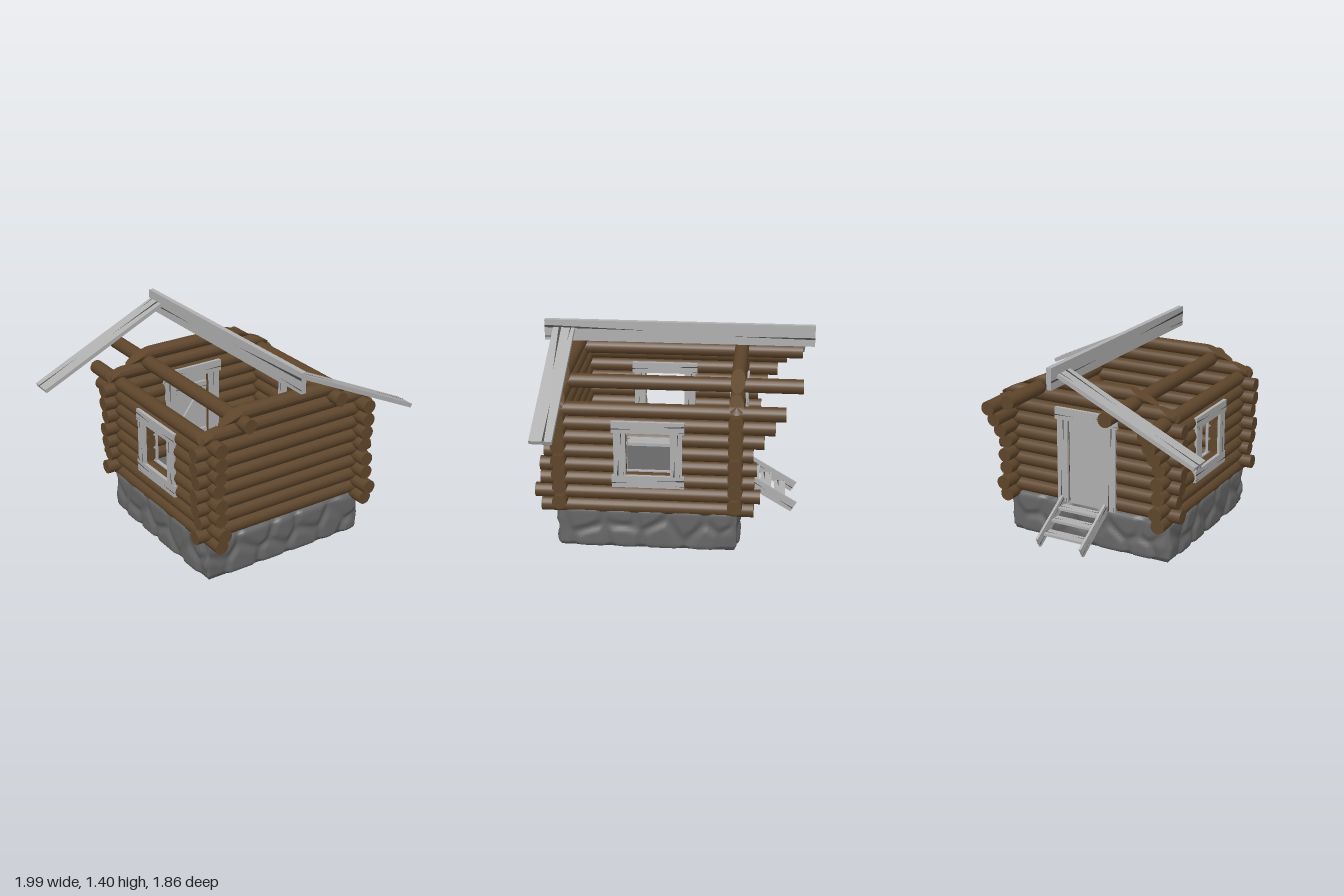
import * as THREE from 'three';
import { mergeVertices } from 'three/addons/utils/BufferGeometryUtils.js';

const mat = (name, color, side = THREE.FrontSide) => {
  const m = new THREE.MeshStandardMaterial({ color, side });
  m.name = name;
  return m;
};
const V = (x, y, z) => new THREE.Vector3(x, y, z);

export function createModel() {
  const logBrown = mat('log brown', 0x5e452b);
  const boardGrey = mat('board grey', 0xafafaf);
  const crackGrey = mat('crack grey', 0x484848, THREE.DoubleSide);
  const stoneGrey = mat('stone grey', 0x666666);
  const model = new THREE.Group();
  model.name = 'logCabin';
  const R = 0.049;
  const LEFT = 0.605, RIGHT = -0.575, FRONT = 0.74, BACK = -0.425;

  const section = (name) => {
    const g = new THREE.Group();
    g.name = name;
    model.add(g);
    return g;
  };

  // Round log from a to b along 'x' or 'z', crossing the other axis at c
  function log(parent, name, axis, a, b, y, c, cut) {
    const geo = new THREE.CylinderGeometry(R, R, b - a, 18);
    if (axis === 'x') geo.rotateZ(-Math.PI / 2).translate((a + b) / 2, y, c);
    else geo.rotateX(Math.PI / 2).translate(c, y, (a + b) / 2);
    if (cut) {
      // slice both ends along the roof pitch
      const p = geo.attributes.position;
      for (let i = 0; i < p.count; i++) {
        const end = Math.min((1.34 - p.getY(i)) / 0.463, 0.66);
        p.setX(i, Math.sign(p.getX(i) - 0.01) * end + 0.01);
      }
      geo.computeVertexNormals();
    }
    const mesh = new THREE.Mesh(geo, logBrown);
    mesh.name = name;
    parent.add(mesh);
  }

  // Weathered board: l along u, w along v, with wedge cracks on both broad faces
  function board(parent, name, center, u, v, l, w, t, cracked = true) {
    const g = new THREE.Group();
    g.name = name;
    const body = new THREE.Mesh(new THREE.BoxGeometry(l, w, t), boardGrey);
    body.name = name + 'Body';
    g.add(body);
    if (cracked) {
      const pts = [];
      for (const s of [1, -1]) {
        const z = s * (t / 2 + 0.0012), x = l / 2;
        pts.push(-x, w * 0.24, z, -x, w * 0.12, z, -x + l * 0.4, w * 0.08, z);
        pts.push(x, -w * 0.08, z, x, -w * 0.17, z, x - l * 0.32, -w * 0.1, z);
        pts.push(-x, -w * 0.3, z, -x, -w * 0.35, z, -x + l * 0.13, -w * 0.28, z);
      }
      const geo = new THREE.BufferGeometry();
      geo.setAttribute('position', new THREE.Float32BufferAttribute(pts, 3));
      geo.computeVertexNormals();
      const cracks = new THREE.Mesh(geo, crackGrey);
      cracks.name = name + 'Cracks';
      g.add(cracks);
    }
    u.normalize();
    v.normalize();
    g.quaternion.setFromRotationMatrix(new THREE.Matrix4().makeBasis(u, v, u.clone().cross(v)));
    g.position.copy(center);
    parent.add(g);
  }
  const X = () => V(1, 0, 0), Y = () => V(0, 1, 0), Z = () => V(0, 0, 1);

  // Stone foundation: rounded block with grooves between irregular stones
  const rnd = ((s) => () => (s = (s * 16807) % 2147483647) / 2147483647)(41);
  const H = V(0.64, 0.15, 0.62);
  const stones = [];
  for (let row = 0; row < 2; row++) {
    for (let k = 0; k < 6; k++) {
      const a = -0.62 + 0.248 * k + row * 0.1;
      for (const s of [1, -1]) {
        const j = () => (rnd() - 0.5) * 0.14;
        stones.push(V(a + j(), -0.08 + row * 0.15 + j() * 0.6, s * H.z));
        stones.push(V(s * H.x, -0.08 + row * 0.15 + j() * 0.6, a + j()));
      }
    }
  }
  let stoneGeo = new THREE.BoxGeometry(H.x * 2, H.y * 2, H.z * 2, 72, 18, 72);
  stoneGeo.deleteAttribute('normal');
  stoneGeo.deleteAttribute('uv');
  stoneGeo = mergeVertices(stoneGeo);
  const sp = stoneGeo.attributes.position, r = 0.035;
  const inner = H.clone().subScalar(r);
  for (let i = 0; i < sp.count; i++) {
    const p = V().fromBufferAttribute(sp, i);
    const core = p.clone().clamp(inner.clone().negate(), inner);
    const dir = p.clone().sub(core).normalize();
    let f1 = 9, f2 = 9;
    for (const s of stones) {
      const d = s.distanceTo(p);
      if (d < f1) { f2 = f1; f1 = d; } else if (d < f2) f2 = d;
    }
    const groove = Math.abs(dir.y) > 0.99 ? 0 : 0.02 * (1 - THREE.MathUtils.smoothstep(f2 - f1, 0, 0.09));
    p.copy(core).addScaledVector(dir, r - groove);
    sp.setXYZ(i, p.x, p.y, p.z);
  }
  stoneGeo.computeVertexNormals();
  const foundation = new THREE.Mesh(stoneGeo, stoneGrey);
  foundation.name = 'stoneFoundation';
  foundation.position.set(0.01, 0.15, 0.16);
  model.add(foundation);

  // Front and back walls; the back wall is split around the door
  const walls = section('logWalls');
  const endX = [0.70, 0.675, 0.695, 0.705, 0.69, 0.705, 0.705];
  endX.forEach((e, i) => {
    const y = 0.352 + i * 0.0985;
    log(walls, 'frontLog', 'x', -e, e + 0.005, y, FRONT);
    if (i < 6) {
      log(walls, 'backLog', 'x', -e, -0.15, y, BACK);
      log(walls, 'backLog', 'x', 0.15, e + 0.005, y, BACK);
    } else log(walls, 'backLog', 'x', -e, e + 0.005, y, BACK);
  });
  for (const z of [FRONT, BACK]) {
    for (const y of [1.045, 1.146]) log(walls, 'gableLog', 'x', -0.5, 0.52, y, z, true);
  }

  // Side walls, split around the window openings
  const ends = [[-0.55, 0.87], [-0.59, 0.91], [-0.55, 0.87], [-0.565, 0.87],
    [-0.54, 0.84], [-0.61, 0.86], [-0.68, 0.87], [-0.745, 0.87]];
  for (const x of [LEFT, RIGHT]) {
    ends.forEach(([a, b], i) => {
      const y = 0.301 + i * 0.098;
      if (i >= 3 && i <= 5) {
        log(walls, 'sideLog', 'z', a, 0, y, x);
        log(walls, 'sideLog', 'z', 0.3, b, y, x);
      } else log(walls, 'sideLog', 'z', a, b, y, x);
    });
  }

  // Purlins carrying the roof
  for (const x of [-0.355, 0.37]) log(walls, 'purlin', 'z', -0.855, 0.86, 1.097, x);

  // Window frames on both faces of each side wall
  const windows = section('windowFrames');
  for (const x of [LEFT, RIGHT]) {
    for (const s of [-1, 1]) {
      const fx = x + s * 0.045;
      board(windows, 'windowHead', V(fx, 0.885, 0.15), Z(), Y(), 0.48, 0.08, 0.024);
      board(windows, 'windowSill', V(fx, 0.502, 0.15), Z(), Y(), 0.48, 0.083, 0.024);
      for (const z of [-0.036, 0.336]) {
        board(windows, 'windowJamb', V(fx, 0.694, z), Y(), Z(), 0.302, 0.08, 0.02);
      }
    }
  }

  // Door with a frame on both faces and a braced inner side
  const door = section('door');
  for (const s of [-1, 1]) {
    const z = BACK + s * 0.048;
    board(door, 'doorHead', V(0, 0.942, z), X(), Y(), 0.48, 0.084, 0.024);
    for (const x of [-0.185, 0.185]) {
      board(door, 'doorJamb', V(x, 0.602, z), Y(), X(), 0.6, 0.08, 0.02);
    }
  }
  board(door, 'doorPanel', V(0, 0.6, BACK - 0.01), Y(), X(), 0.62, 0.3, 0.024, false);
  for (const y of [0.42, 0.8]) board(door, 'doorBatten', V(0, y, BACK + 0.012), X(), Y(), 0.28, 0.06, 0.02);
  board(door, 'doorBrace', V(0, 0.61, BACK + 0.011), V(0.24, 0.32, 0), V(-0.32, 0.24, 0), 0.39, 0.055, 0.018);

  // Steps up to the door
  const steps = section('steps');
  for (const x of [-0.157, 0.177]) {
    board(steps, 'stringer', V(x, 0.229, -0.655), V(0, -0.515, -0.857), V(0, 0.857, -0.515), 0.385, 0.08, 0.016);
  }
  [[0.17, -0.72], [0.232, -0.62], [0.288, -0.535]].forEach(([y, z]) =>
    board(steps, 'tread', V(0.01, y, z), X(), Z(), 0.32, 0.08, 0.018));

  // Single floor plank
  board(model, 'floorPlank', V(-0.47, 0.312, 0.16), Z(), X(), 1.07, 0.12, 0.024);

  // Ridge beam and the two rafter boards
  const roof = section('roofBoards');
  board(roof, 'ridgeBeam', V(0, 1.332, 0), V(0, 0, -1), Y(), 1.855, 0.145, 0.036);
  board(roof, 'frontRafterBoard', V(0.508, 1.121, 0.79), V(0.955, -0.448, 0), Z(), 1.055, 0.148, 0.028);
  board(roof, 'backRafterBoard', V(-0.51, 1.121, -0.805), V(-0.955, -0.448, 0), Z(), 1.055, 0.148, 0.028);

  return model;
}
